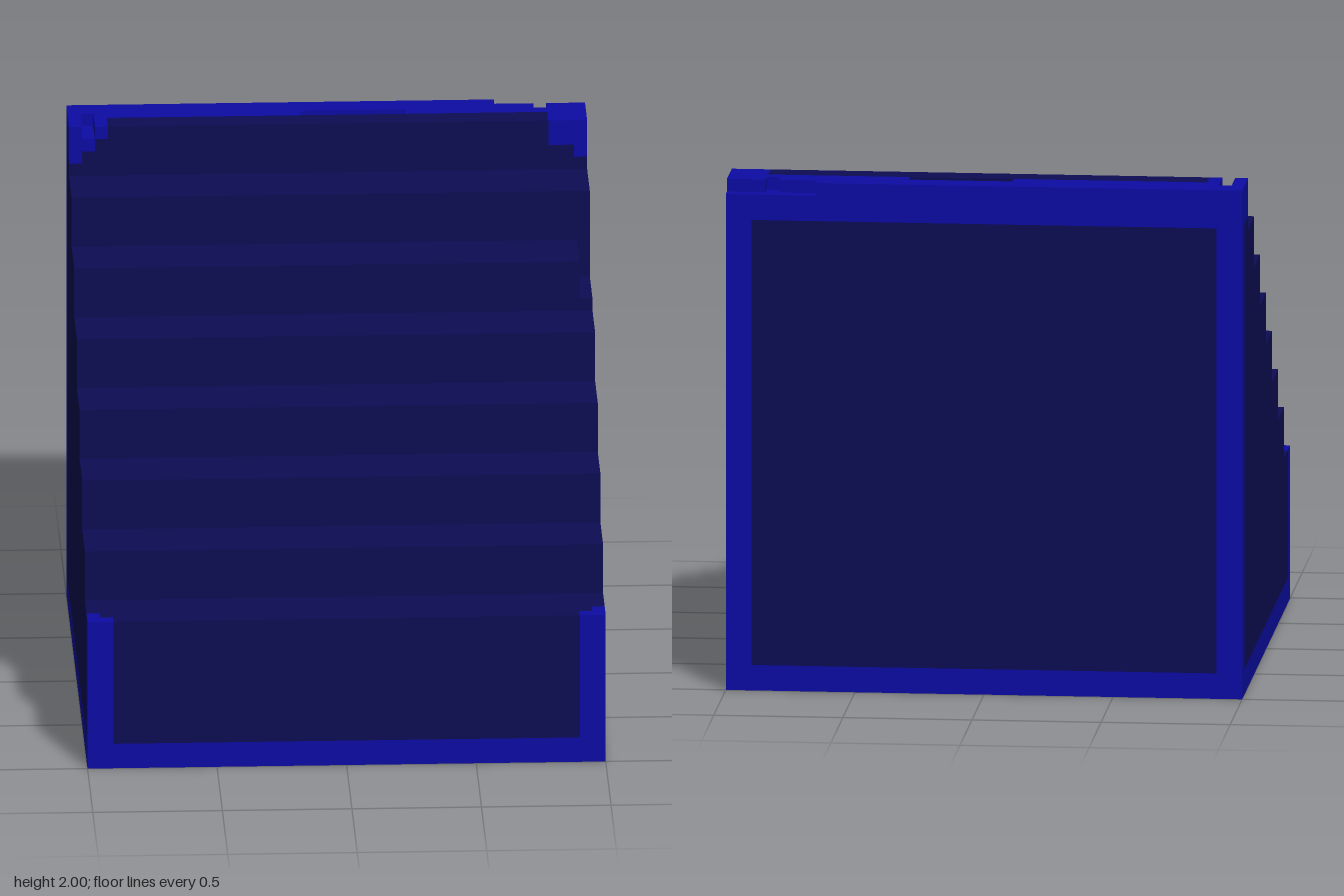
import * as THREE from 'three';
import { mergeGeometries } from 'three/addons/utils/BufferGeometryUtils.js';

export function createModel() {
  const navy = new THREE.MeshStandardMaterial({ color: 0x0c0c54 });
  navy.name = 'dark navy';
  const blue = new THREE.MeshStandardMaterial({ color: 0x0c0ca4 });
  blue.name = 'trim blue';

  const model = new THREE.Group();
  model.name = 'staircase';

  // One block from its limits: x0, x1, y0, y1, z0, z1
  const block = ([x0, x1, y0, y1, z0, z1]) =>
    new THREE.BoxGeometry(x1 - x0, y1 - y0, z1 - z0)
      .translate((x0 + x1) / 2, (y0 + y1) / 2, (z0 + z1) / 2);
  const mirrorX = ([x0, x1, ...rest]) => [-x1, -x0, ...rest];
  const add = (name, material, blocks) => {
    const mesh = new THREE.Mesh(mergeGeometries(blocks.map(block)), material);
    mesh.name = name;
    model.add(mesh);
  };
  const addPair = (name, material, blocks) => {
    add('left' + name, material, blocks);
    add('right' + name, material, blocks.map(mirrorX));
  };

  // Eight steps, each with flush side panels; one panel has a chipped corner
  for (let i = 0; i < 8; i++) {
    const front = 1 - i * 0.25, back = front - 0.25;
    const top = i === 7 ? 1.85 : 0.6 + i * 0.2;
    const z0 = Math.max(back, -0.9), z1 = Math.min(front, 0.9);
    add('step' + (i + 1), navy, [
      [-0.95, 0.95, 0.05, top, Math.max(back, -0.95), Math.min(front, 0.95)],
      [0.95, 1, 0.1, i === 5 ? 1.45 : top, z0, z1],
      [-1, -0.95, 0.1, top, z0, z1],
    ]);
  }

  // Top tread, narrowing between the corner brackets
  add('topTread', navy, [
    [-0.95, 0.95, 1.85, 1.9, -0.95, -0.75],
    [-0.9, 0.85, 1.9, 1.95, -0.85, -0.75],
    [-0.85, 0.85, 1.95, 2, -0.85, -0.75],
  ]);

  // Flush panels on the remaining faces
  add('frontPanel', navy, [[-0.9, 0.9, 0.1, 0.6, 0.95, 1]]);
  add('backPanel', navy, [[-0.9, 0.9, 0.1, 1.85, -1, -0.95]]);
  add('bottomPanel', navy, [[-0.9, 0.9, 0, 0.05, -0.9, 0.9]]);

  // L-shaped trim around the base
  add('frontBaseTrim', blue, [
    [-1, 1, 0, 0.05, 0.9, 1],
    [-1, 1, 0.05, 0.1, 0.95, 1],
  ]);
  add('backBaseTrim', blue, [
    [-1, 1, 0, 0.05, -1, -0.9],
    [-1, 1, 0.05, 0.1, -1, -0.95],
  ]);
  addPair('BaseTrim', blue, [
    [0.9, 1, 0, 0.05, -0.9, 0.9],
    [0.95, 1, 0.05, 0.1, -0.95, 0.95],
  ]);

  // L-shaped corner posts
  addPair('FrontPost', blue, [
    [0.9, 1, 0.1, 0.6, 0.95, 1],
    [0.95, 1, 0.1, 0.6, 0.9, 0.95],
  ]);
  addPair('BackPost', blue, [
    [0.9, 1, 0.1, 1.85, -1, -0.95],
    [0.95, 1, 0.1, 1.85, -0.95, -0.9],
  ]);

  // Top rail with chipped notches
  add('topRail', blue, [
    [-1, 1, 1.85, 1.95, -1, -0.95],
    [-1, 0.65, 1.95, 2, -1, -0.95],
    [-0.95, 0.95, 1.9, 1.95, -0.95, -0.85],
    [-1, 0.8, 1.95, 2, -0.95, -0.9],
    [0.85, 1, 1.95, 2, -0.95, -0.9],
    [-1, -0.95, 1.95, 2, -0.9, -0.85],
    [-0.9, -0.1, 1.95, 2, -0.9, -0.85],
    [0.3, 1, 1.95, 2, -0.9, -0.85],
  ]);

  // Corner brackets at the ends of the top step
  addPair('BracketSide', blue, [[0.95, 1, 1.85, 1.95, -0.95, -0.75]]);
  add('rightBracketTop', blue, [
    [-1, -0.95, 1.95, 2, -0.85, -0.75],
    [-0.95, -0.9, 1.9, 1.95, -0.85, -0.75],
    [-0.9, -0.85, 1.95, 2, -0.85, -0.75],
  ]);
  add('leftBracketTop', blue, [
    [0.85, 0.95, 1.9, 1.95, -0.85, -0.75],
    [0.85, 1, 1.95, 2, -0.85, -0.75],
  ]);

  return model;
}
